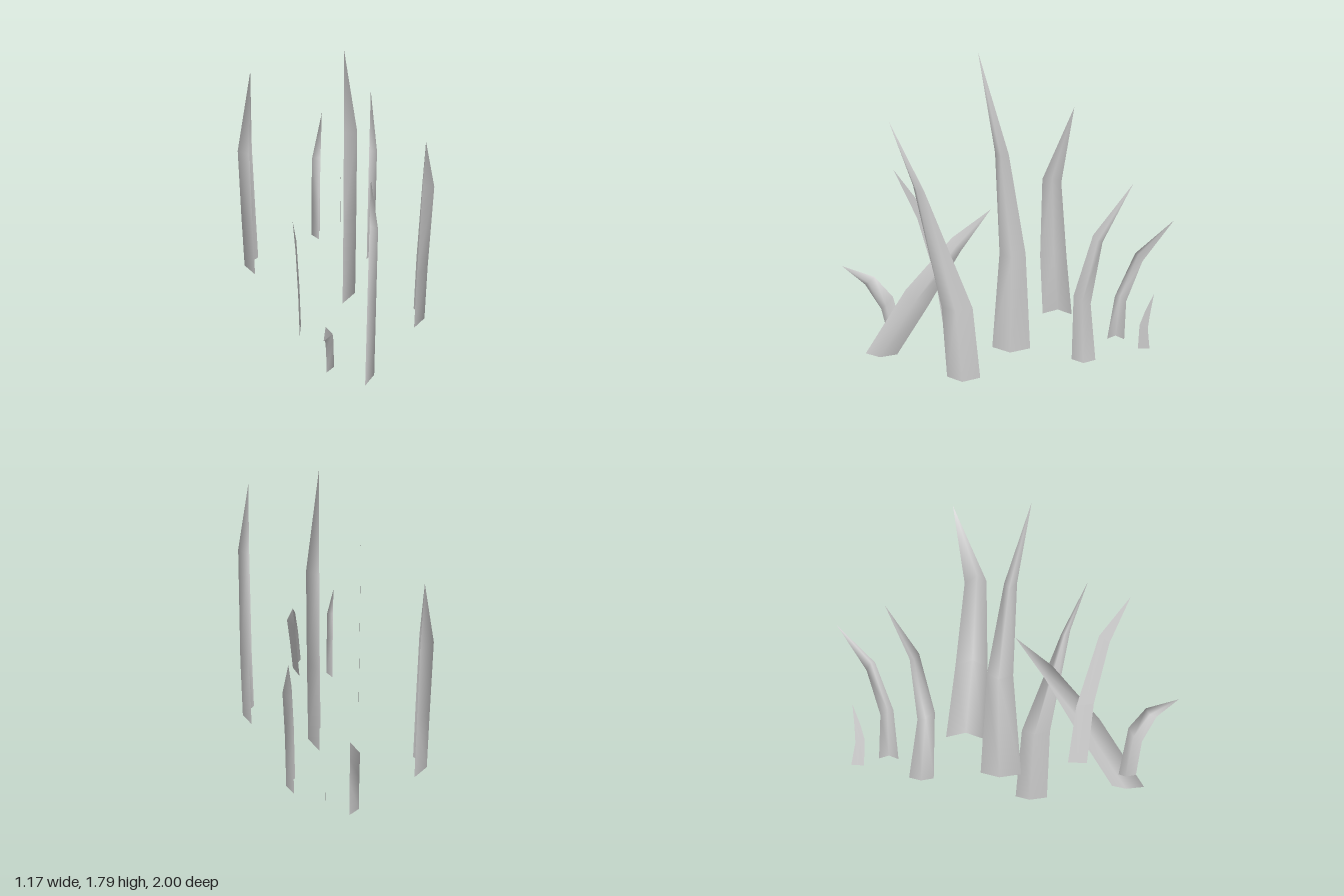
import * as THREE from 'three';

const material = new THREE.MeshStandardMaterial({ color: 0xcccccc, side: THREE.DoubleSide });

// Each blade: edge plane x, ridge x, three rows of [front z, y, back z, y], tip [z, y]
const blades = [
  { name: 'tallCentreBlade', x: 0.075, ridge: 0.15, tip: [0.15, 1.79],
    rows: [[0.075, 0, -0.155, 0], [0.03, 0.6, -0.125, 0.6], [0.055, 1.21, -0.025, 1.2]] },
  { name: 'leftBlade', x: 0.52, ridge: 0.585, tip: [0.585, 1.475],
    rows: [[0.29, 0, 0.1, 0], [0.315, 0.42, 0.14, 0.42], [0.46, 1.12, 0.4, 1.09]] },
  { name: 'rightBlade', x: -0.507, ridge: -0.587, tip: [-0.385, 1.375],
    rows: [[-0.2, 0, -0.39, 0], [-0.18, 0.4, -0.35, 0.4], [-0.19, 0.91, -0.31, 0.89]] },
  { name: 'backLeftBlade', x: 0.215, ridge: 0.265, tip: [-0.74, 1.08],
    rows: [[-0.41, 0, -0.55, 0], [-0.415, 0.4, -0.515, 0.35], [-0.52, 0.77, -0.575, 0.73]] },
  { name: 'backBlade', x: -0.115, ridge: -0.17, tip: [-1, 0.775],
    rows: [[-0.62, 0, -0.725, 0], [-0.66, 0.28, -0.73, 0.25], [-0.775, 0.56, -0.82, 0.51]] },
  { name: 'leaningFrontBlade', x: 0.235, ridge: 0.285, tip: [0.065, 0.915],
    rows: [[0.82, 0, 0.63, 0], [0.57, 0.41, 0.44, 0.31], [0.29, 0.74, 0.24, 0.66]] },
  { name: 'shortFrontBlade', x: 0.01, ridge: 0.05, tip: [1, 0.47],
    rows: [[0.72, 0, 0.62, 0], [0.765, 0.2, 0.69, 0.28], [0.86, 0.355, 0.8, 0.405]] },
  { name: 'flatFrontBlade', x: -0.17, ridge: -0.17, tip: [0.7, 1.035],
    rows: [[0.405, 0, 0.3, 0], [0.455, 0.35, 0.355, 0.33], [0.56, 0.73, 0.5, 0.77]] },
  { name: 'smallBackBlade', x: 0.02, ridge: 0.02, tip: [-0.89, 0.355],
    rows: [[-0.805, 0, -0.875, 0], [-0.81, 0.15, -0.86, 0.13], [-0.84, 0.24, -0.87, 0.22]] },
];

// A folded leaf: two edges and a central ridge per row, closing at a pointed tip
function bladeGeometry({ x, ridge, rows, tip }) {
  const points = [];
  for (const [z0, y0, z1, y1] of rows) {
    points.push(x, y0, z0, ridge, (y0 + y1) / 2, (z0 + z1) / 2, x, y1, z1);
  }
  points.push(x, tip[1], tip[0]);

  const index = [];
  const outward = ridge >= x;
  const face = (a, b, c) => index.push(...(outward ? [a, b, c] : [a, c, b]));
  const last = rows.length - 1;
  for (let row = 0; row <= last; row++) {
    for (let side = 0; side < 2; side++) {
      const a = row * 3 + side;
      if (row === last) {
        face(a, a + 1, rows.length * 3);
      } else {
        face(a, a + 1, a + 4);
        face(a, a + 4, a + 3);
      }
    }
  }

  const geometry = new THREE.BufferGeometry();
  geometry.setAttribute('position', new THREE.Float32BufferAttribute(points, 3));
  geometry.setIndex(index);
  geometry.computeVertexNormals();
  return geometry;
}

export function createModel() {
  const group = new THREE.Group();
  group.name = 'grassTuft';
  for (const blade of blades) {
    const mesh = new THREE.Mesh(bladeGeometry(blade), material);
    mesh.name = blade.name;
    group.add(mesh);
  }
  return group;
}
